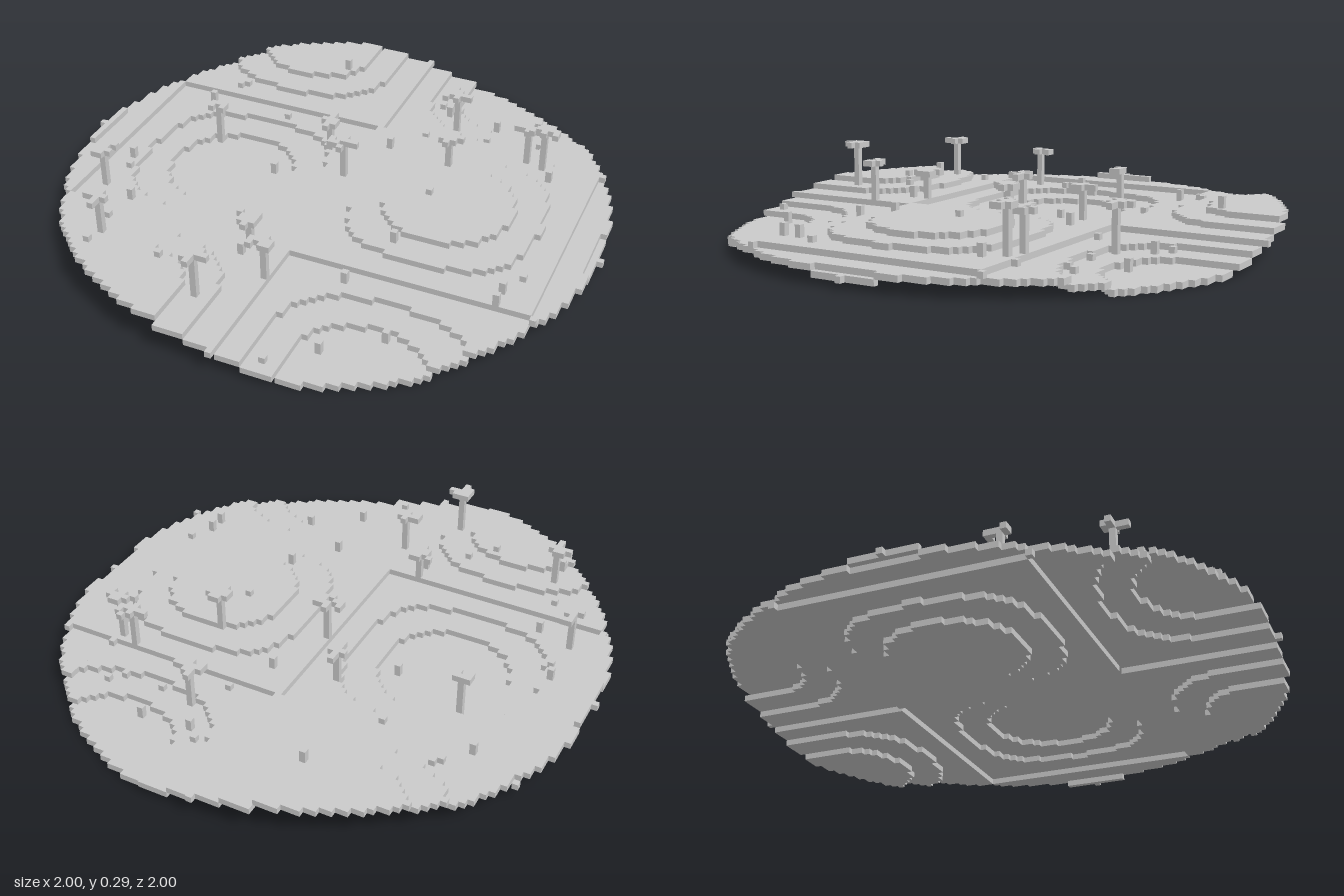
import * as THREE from 'three';
import { mergeGeometries } from 'three/addons/utils/BufferGeometryUtils.js';

const R = 45;                 // disc radius in cells
const C = 2 / (2 * R + 1);    // cell size
const material = new THREE.MeshStandardMaterial({ color: 0xcccccc, flatShading: true });

// Wavy ground height in whole cells, 0 to 5
const level = (i, j) => Math.floor(3 * Math.sin(i * 0.08) * Math.cos(j * 0.08)) + 3;

// Box covering w x h cells, starting at cell (i, k, j)
function block(i, k, j, w = 1, h = 1) {
  return new THREE.BoxGeometry(w * C, h * C, C)
    .translate((i + (w - 1) / 2) * C, (k + h / 2) * C, j * C);
}

function addMesh(parent, name, boxes) {
  const mesh = new THREE.Mesh(mergeGeometries(boxes), material);
  mesh.name = name;
  parent.add(mesh);
}

function seeded(seed) {
  return () => (seed = (seed * 16807) % 2147483647) / 2147483647;
}

// One-cell-thick ground, each row joined into runs of equal height
function terrainBlocks() {
  const boxes = [];
  for (let j = -R; j <= R; j++) {
    const half = Math.floor(Math.sqrt(R * R - j * j));
    let start = -half;
    for (let i = -half; i <= half; i++) {
      if (i === half || level(i + 1, j) !== level(i, j)) {
        boxes.push(block(start, level(start, j), j, i - start + 1));
        start = i + 1;
      }
    }
  }
  return boxes;
}

export function createModel() {
  const group = new THREE.Group();
  const random = seeded(4711);
  addMesh(group, 'terrain', terrainBlocks());

  // Trees: column, row, level of the crown
  const trees = [
    [-26, -8, 8], [-6, -11, 8], [0, -3, 10], [16, -10, 11], [12, -26, 9], [27, -19, 10],
    [30, -18, 11], [-36, 14, 9], [-6, 20, 8], [0, 27, 10], [-28, 28, 11], [-7, 36, 12],
  ];
  for (const [i, j, top] of trees) {
    const tree = new THREE.Group();
    tree.name = 'tree';
    const base = level(i, j) + 1;
    addMesh(tree, 'trunk', [block(i, base, j, 1, top - base)]);
    // Ragged crown: a cross with some corners and tips
    const crown = [block(i, top, j)];
    for (let a = -2; a <= 2; a++) {
      for (let b = -2; b <= 2; b++) {
        const d = Math.abs(a) + Math.abs(b);
        const chance = [0, 0.85, 0.4, 0.12, 0][d];
        if (random() < chance) crown.push(block(i + a, top, j + b));
      }
    }
    addMesh(tree, 'crown', crown);
    group.add(tree);
  }

  // Small plants, one or two cells high
  const plants = [
    [-17, -17], [-32, -17], [4, -14], [-13, -3], [16, -1], [-36, 5], [15, 12], [36, 12],
    [-35, 8], [11, 22], [-6, 23], [-30, 23], [34, 16], [34, 19], [21, 30], [25, 30],
    [-16, 31], [-12, 28], [13, 36], [7, 42], [-28, 32], [-30, 16], [18, -31], [8, -21],
    [18, -25], [25, -25], [27, -27], [-29, -22], [-28, -23], [7, -33], [9, -31],
    [-12, -33], [-12, -31], [32, -15], [31, -20],
  ];
  addMesh(group, 'plants', plants.map(([i, j]) =>
    block(i, level(i, j) + 1, j, 1, random() < 0.5 ? 2 : 1)));

  return group;
}
